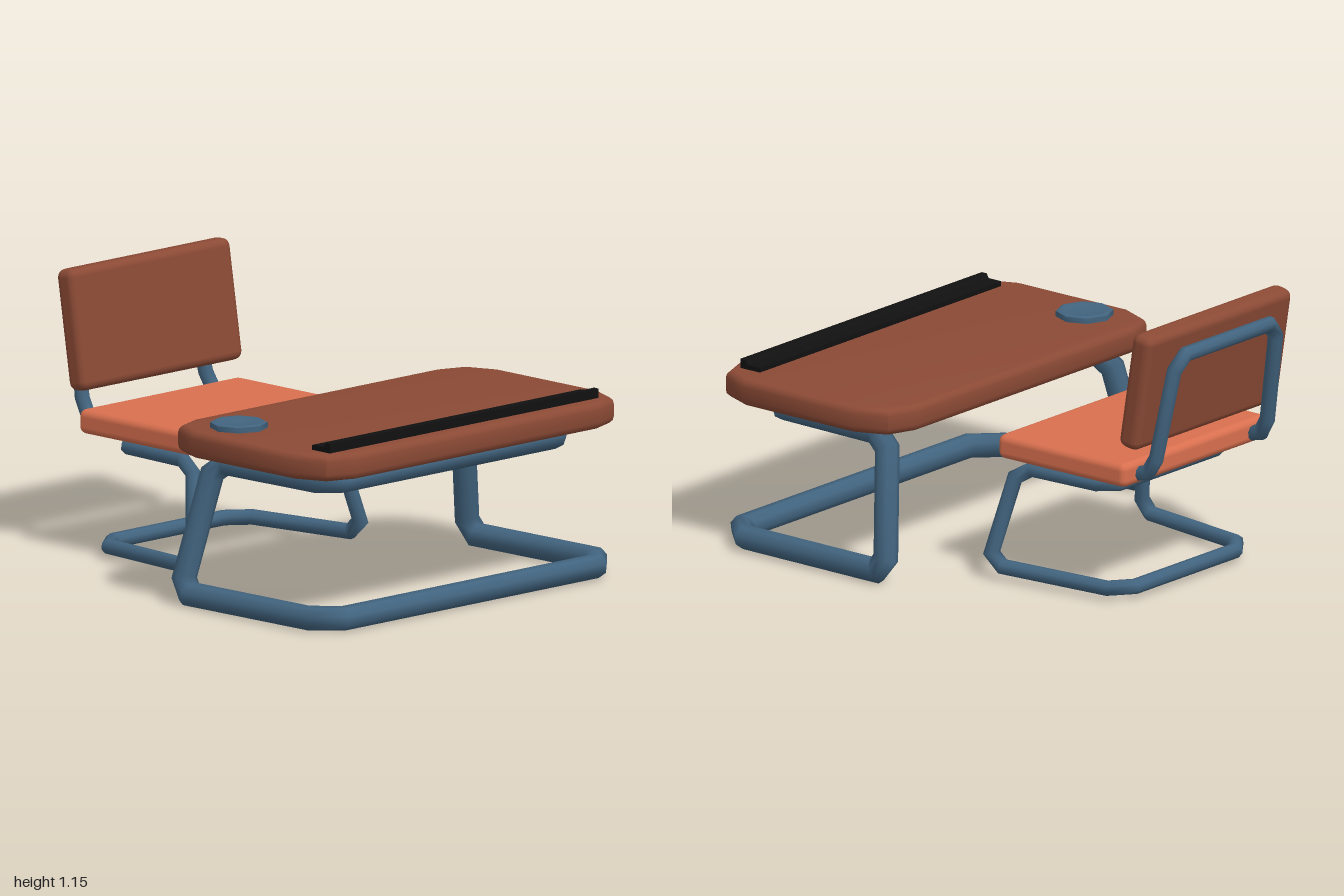
import * as THREE from 'three';
import { toCreasedNormals } from 'three/addons/utils/BufferGeometryUtils.js';
import { RoundedBoxGeometry } from 'three/addons/geometries/RoundedBoxGeometry.js';

const mat = (color) => new THREE.MeshStandardMaterial({ color });
const V = (p) => new THREE.Vector3(...p);

// Mirrors a half path that starts or ends on x = 0
const mirrored = (half) => half.slice().reverse().map(([x, y, z]) => [-x, y, z]);

// Eight-sided tube with mitred bends; each ring is slid along its segment onto the next mitre plane
function bentTube(path, radius, closed) {
  const pts = path.map(V), n = pts.length, sides = 8;
  const dir = (i) => pts[(i + 1) % n].clone().sub(pts[i]).normalize();
  const first = dir(0);
  const u = new THREE.Vector3().crossVectors(first, V([0.13, 0.3, 1])).normalize();
  const w = new THREE.Vector3().crossVectors(first, u);
  let ring = [];
  for (let k = 0; k < sides; k++) {
    const a = (k / sides) * Math.PI * 2;
    ring.push(pts[0].clone().addScaledVector(u, radius * Math.cos(a)).addScaledVector(w, radius * Math.sin(a)));
  }
  const pos = [], index = [];
  for (let i = 0; i < n; i++) {
    if (i > 0) {
      const d = dir(i - 1);
      const plane = d.clone();
      if (closed || i < n - 1) plane.add(dir(i)).normalize();
      ring = ring.map((p) => p.clone().addScaledVector(d, pts[i].clone().sub(p).dot(plane) / d.dot(plane)));
    }
    ring.forEach((p) => pos.push(p.x, p.y, p.z));
  }
  const spans = closed ? n : n - 1;
  for (let i = 0; i < spans; i++) {
    for (let k = 0; k < sides; k++) {
      const a = i * sides + k, b = i * sides + (k + 1) % sides;
      const c = ((i + 1) % n) * sides + k, e = ((i + 1) % n) * sides + (k + 1) % sides;
      index.push(a, b, c, b, e, c);
    }
  }
  // End caps
  if (!closed) {
    const o = (n - 1) * sides;
    for (let k = 1; k < sides - 1; k++) index.push(0, k + 1, k, o, o + k, o + k + 1);
  }
  const g = new THREE.BufferGeometry();
  g.setAttribute('position', new THREE.Float32BufferAttribute(pos, 3));
  g.setIndex(index);
  g.computeVertexNormals();
  return g;
}

// Closed frame from its +x half; both ends of the half lie on x = 0
const loopFrame = (half, radius) => bentTube([...half, ...mirrored(half).slice(1, -1)], radius, true);

export function createModel() {
  const model = new THREE.Group();
  const wood = mat(0x8b4a35), orange = mat(0xd9704f), steel = mat(0x42647f), black = mat(0x111111);
  const desk = new THREE.Group(), chair = new THREE.Group();
  desk.name = 'desk';
  chair.name = 'chair';
  model.add(desk, chair);
  const add = (parent, name, geometry, material) => {
    const m = new THREE.Mesh(geometry, material);
    m.name = name;
    parent.add(m);
    return m;
  };

  // Desk top: slab with cut corners and a soft edge
  const bevel = 0.03, hx = 0.86 - bevel, hz = 0.465 - bevel;
  const corner = [[hx, hz - 0.16], [hx - 0.05, hz - 0.04], [hx - 0.16, hz]];
  const quarter = (sx, sz) => {
    const c = corner.map(([x, z]) => new THREE.Vector2(x * sx, z * sz));
    return sx * sz > 0 ? c : c.reverse();
  };
  const outline = new THREE.Shape([...quarter(1, 1), ...quarter(-1, 1), ...quarter(-1, -1), ...quarter(1, -1)]);
  const slab = new THREE.ExtrudeGeometry(outline, {
    depth: 0.05, bevelEnabled: true, bevelThickness: 0.03, bevelSize: bevel, bevelSegments: 3,
  });
  slab.rotateX(-Math.PI / 2);
  add(desk, 'deskTop', toCreasedNormals(slab, 0.7), wood).position.set(0, 0.65, 0.535);

  // Desk frame: one continuous tube
  add(desk, 'deskFrame', loopFrame([
    [0, 0.056, 0.951], [0.7, 0.056, 0.951], [0.8, 0.056, 0.85], [0.8, 0.052, 0.18], [0.79, 0.11, 0.138],
    [0.7, 0.53, 0.205], [0.685, 0.58, 0.27], [0.67, 0.58, 0.76], [0.59, 0.58, 0.83], [0, 0.58, 0.83],
  ], 0.049), steel);

  // Pencil ledge: low strip with a raised lip at the front
  const ledge = new THREE.Shape([
    [-0.93, 0.725], [-0.83, 0.725], [-0.83, 0.75], [-0.895, 0.75], [-0.905, 0.768], [-0.93, 0.768],
  ].map(([x, y]) => new THREE.Vector2(x, y)));
  const ledgeGeo = new THREE.ExtrudeGeometry(ledge, { depth: 1.5, bevelEnabled: false });
  ledgeGeo.rotateY(Math.PI / 2);
  add(desk, 'pencilLedge', ledgeGeo, black).position.x = -0.76;

  // Shallow round dish
  const dish = new THREE.LatheGeometry([
    [0, 0], [0.115, 0], [0.115, 0.024], [0.1, 0.03], [0.085, 0.026], [0, 0.016],
  ].map(([x, y]) => new THREE.Vector2(x, y)), 8);
  add(desk, 'dish', toCreasedNormals(dish, 0.9), steel).position.set(-0.67, 0.728, 0.325);

  // Seat and tilted backrest
  add(chair, 'seat', new RoundedBoxGeometry(0.9, 0.1, 0.66, 2, 0.03), orange).position.set(0, 0.55, -0.48);
  const back = add(chair, 'backrest', new RoundedBoxGeometry(0.9, 0.49, 0.1, 2, 0.035), wood);
  back.position.set(0, 0.91, -0.855);
  back.rotation.x = -0.16;

  // Chair frame: one continuous tube
  add(chair, 'chairFrame', loopFrame([
    [0, 0.053, -0.75], [0.31, 0.053, -0.75], [0.4, 0.053, -0.68], [0.46, 0.06, -0.19], [0.467, 0.11, -0.14],
    [0.4, 0.42, -0.205], [0.385, 0.465, -0.28], [0.37, 0.465, -0.6], [0.3, 0.462, -0.66], [0, 0.462, -0.66],
  ], 0.031), steel);

  // Bent tube carrying the backrest
  const side = [[0.35, 0.54, -0.78], [0.35, 0.555, -0.85], [0.345, 0.62, -0.888], [0.315, 0.99, -0.956], [0.26, 1.05, -0.968]];
  add(chair, 'backSupport', bentTube([...side, ...mirrored(side)], 0.031, false), steel);

  return model;
}
